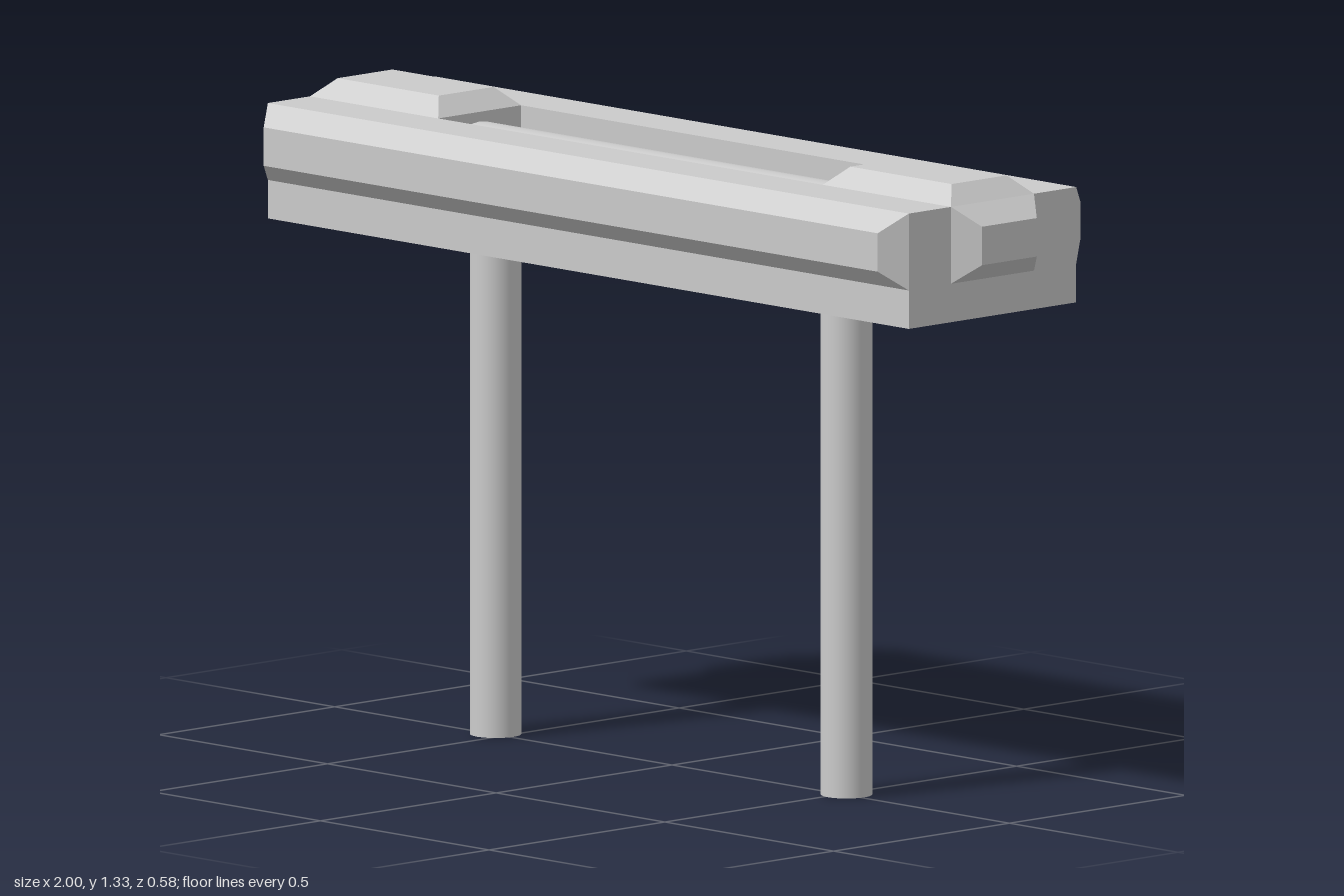
import * as THREE from 'three';

const material = new THREE.MeshStandardMaterial({ color: 0xcccccc });
const BOTTOM = 1.05, FLOOR = 1.13, TOP = 1.29;
const HALF_X = 0.95, HALF_Z = 0.238, SLOT_X = 0.57, SLOT_Z = 0.118;
const INSET = 0.04;

function addMesh(parent, name, geometry, x = 0, y = 0, z = 0) {
  const mesh = new THREE.Mesh(geometry, material);
  mesh.name = name;
  mesh.position.set(x, y, z);
  parent.add(mesh);
  return mesh;
}

// Raised panel standing on y = 0 whose upper face is inset on all sides
function bevelPanel(width, depth, height) {
  const geometry = new THREE.BoxGeometry(width, height, depth).translate(0, height / 2, 0);
  const p = geometry.attributes.position;
  for (let i = 0; i < p.count; i++) {
    if (p.getY(i) < height / 2) continue;
    p.setX(i, p.getX(i) - Math.sign(p.getX(i)) * INSET);
    p.setZ(i, p.getZ(i) - Math.sign(p.getZ(i)) * INSET);
  }
  geometry.computeVertexNormals();
  return geometry;
}

function rectangle(path, hx, hz) {
  path.moveTo(-hx, -hz);
  path.lineTo(hx, -hz);
  path.lineTo(hx, hz);
  path.lineTo(-hx, hz);
  path.closePath();
  return path;
}

export function createModel() {
  const group = new THREE.Group();
  group.name = 'rollerStand';

  // Block: solid base with a slotted upper layer
  addMesh(group, 'blockBase',
    new THREE.BoxGeometry(HALF_X * 2, FLOOR - BOTTOM, HALF_Z * 2), 0, (BOTTOM + FLOOR) / 2, 0);
  const outline = rectangle(new THREE.Shape(), HALF_X, HALF_Z);
  outline.holes.push(rectangle(new THREE.Path(), SLOT_X, SLOT_Z));
  const slotted = new THREE.ExtrudeGeometry(outline, { depth: TOP - FLOOR, bevelEnabled: false });
  addMesh(group, 'slottedBlock', slotted.rotateX(-Math.PI / 2), 0, FLOOR, 0);

  // Roller lying in the slot
  const roller = new THREE.CylinderGeometry(0.09, 0.09, SLOT_X * 2, 32).rotateZ(Math.PI / 2);
  addMesh(group, 'roller', roller, 0, 1.18, 0);

  const sideHeight = TOP - FLOOR;
  const midY = (TOP + FLOOR) / 2;
  for (const s of [1, -1]) {
    const side = s > 0 ? 'left' : 'right';

    // Long bevelled panels on front and back
    const long = bevelPanel(HALF_X * 2, sideHeight, 0.05).rotateX(s * Math.PI / 2);
    addMesh(group, s > 0 ? 'frontPanel' : 'backPanel', long, 0, midY, s * HALF_Z);

    // Bevelled pads on top and at each end
    addMesh(group, side + 'TopPad', bevelPanel(HALF_X - SLOT_X, SLOT_Z * 2, 0.038),
      s * (HALF_X + SLOT_X) / 2, TOP, 0);
    const end = bevelPanel(sideHeight, SLOT_Z * 2, 0.05).rotateZ(-s * Math.PI / 2);
    addMesh(group, side + 'EndPad', end, s * HALF_X, midY, 0);

    // Round leg
    addMesh(group, side + 'Leg', new THREE.CylinderGeometry(0.053, 0.053, BOTTOM, 32),
      s * 0.52 - 0.01, BOTTOM / 2, -0.007);
  }
  return group;
}
